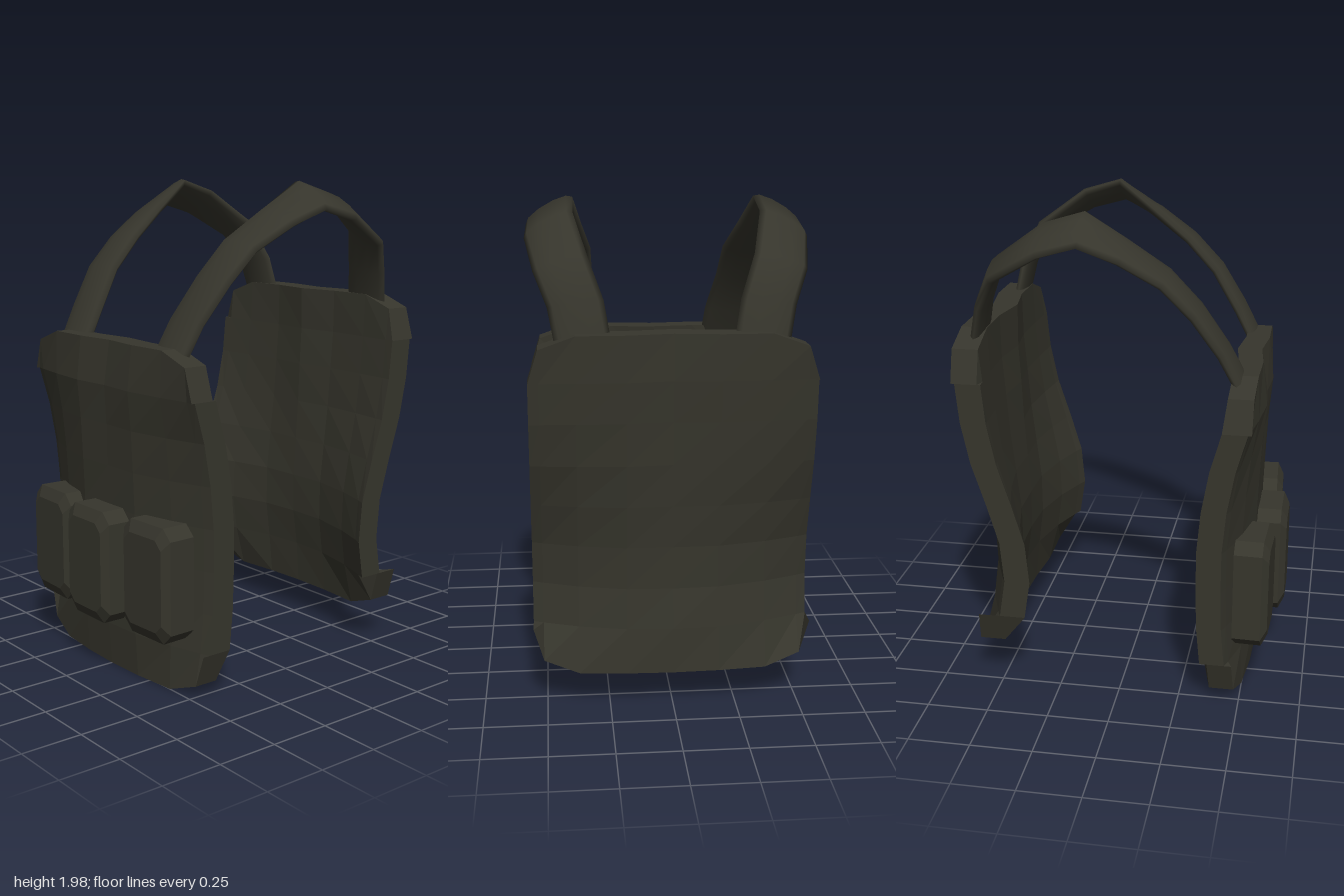
import * as THREE from 'three';
import { ConvexGeometry } from 'three/addons/geometries/ConvexGeometry.js';

const fabric = new THREE.MeshStandardMaterial({ color: 0x36352c });
fabric.name = 'darkOliveFabric';

// Plate outline: column positions with their lowest and highest y
const COLS = [[-0.55, 0.18, 1.18], [-0.51, 0.05, 1.31], [-0.37, 0, 1.36], [-0.18, 0, 1.36], [0, 0, 1.36],
  [0.18, 0, 1.36], [0.37, 0, 1.36], [0.51, 0.05, 1.31], [0.55, 0.18, 1.18]];
const ROWS = [0, 0.18, 0.34, 0.51, 0.68, 0.85, 1.02, 1.18, 1.36];

// Curved panel with flat facets: centre and edge depths per row, facing +z
function plateGeometry(centre, edge, dip, thickness) {
  const n = COLS.length, m = ROWS.length;
  const grid = (offset) => COLS.map(([x, lo, hi]) => ROWS.map((row, j) => {
    const f = (x / 0.55) ** 2;
    const notch = x === 0 ? dip * (j / (m - 1)) : 0;
    const z = centre[j] + (edge[j] - centre[j]) * f - notch - offset;
    return new THREE.Vector3(x, THREE.MathUtils.clamp(row, lo, hi), z);
  }));
  const F = grid(0), B = grid(thickness), pos = [];
  const tri = (a, b, c) => {
    if (a.equals(b) || b.equals(c) || a.equals(c)) return;
    for (const p of [a, b, c]) pos.push(p.x, p.y, p.z);
  };
  const quad = (a, b, c, d) => { tri(a, b, c); tri(a, c, d); };
  for (let i = 0; i < n - 1; i++) {
    for (let j = 0; j < m - 1; j++) {
      quad(F[i][j], F[i + 1][j], F[i + 1][j + 1], F[i][j + 1]);
      quad(B[i][j], B[i][j + 1], B[i + 1][j + 1], B[i + 1][j]);
    }
  }
  // rim around the outline
  const loop = [];
  for (let i = 0; i < n - 1; i++) loop.push([i, 0]);
  for (let j = 0; j < m - 1; j++) loop.push([n - 1, j]);
  for (let i = n - 1; i > 0; i--) loop.push([i, m - 1]);
  for (let j = m - 1; j > 0; j--) loop.push([0, j]);
  loop.forEach(([i, j], k) => {
    const [p, q] = loop[(k + 1) % loop.length];
    quad(F[i][j], B[i][j], B[p][q], F[p][q]);
  });
  const g = new THREE.BufferGeometry();
  g.setAttribute('position', new THREE.Float32BufferAttribute(pos, 3));
  g.computeVertexNormals();
  return g;
}

// Shoulder strap stations: x, y, z, roll
const STRAP = [
  [0.33, 1.29, 0.475, 0], [0.345, 1.45, 0.39, 0], [0.38, 1.61, 0.285, 0.05], [0.39, 1.735, 0.165, 0.1],
  [0.43, 1.84, 0.01, 0.22], [0.455, 1.925, -0.145, 0.52], [0.46, 1.88, -0.3, 0.48],
  [0.42, 1.755, -0.49, 0.3], [0.365, 1.61, -0.555, 0.12], [0.335, 1.44, -0.59, 0],
];

// Soft oval band swept through the stations
function strapGeometry(side) {
  const sides = 10, pos = [], idx = [];
  const pts = STRAP.map(([x, y, z]) => new THREE.Vector3(side * x, y, z));
  const last = pts.length - 1;
  pts.forEach((p, k) => {
    const t = pts[Math.min(k + 1, last)].clone().sub(pts[Math.max(k - 1, 0)]).normalize();
    const roll = STRAP[k][3];
    const w = new THREE.Vector3(Math.cos(roll), -side * Math.sin(roll), 0);
    const up = t.clone().cross(w).normalize();
    for (let s = 0; s < sides; s++) {
      const a = (s / sides) * Math.PI * 2;
      const v = p.clone().addScaledVector(w, 0.107 * Math.cos(a)).addScaledVector(up, 0.028 * Math.sin(a));
      pos.push(v.x, v.y, v.z);
      if (k < last) {
        const a0 = k * sides + s, b0 = k * sides + (s + 1) % sides;
        idx.push(a0, b0, b0 + sides, a0, b0 + sides, a0 + sides);
      }
    }
  });
  const g = new THREE.BufferGeometry();
  g.setAttribute('position', new THREE.Float32BufferAttribute(pos, 3));
  g.setIndex(idx);
  g.computeVertexNormals();
  return g;
}

// Octagonal pouch with a bevelled front, back at z = 0
function pouchGeometry() {
  const w = 0.145, h = 0.232, c = 0.045, pts = [];
  for (const [z, s] of [[0, 1], [0.115, 1], [0.14, 0.8]]) {
    for (const sx of [-1, 1]) for (const sy of [-1, 1]) {
      pts.push(new THREE.Vector3(sx * w * s, sy * (h - c) * s, z));
      pts.push(new THREE.Vector3(sx * (w - c) * s, sy * h * s, z));
    }
  }
  return new ConvexGeometry(pts);
}

export function createModel() {
  const group = new THREE.Group();
  group.name = 'vest';
  const add = (name, geometry) => {
    const mesh = new THREE.Mesh(geometry, fabric);
    mesh.name = name;
    group.add(mesh);
    return mesh;
  };

  add('frontPlate', plateGeometry(
    [0.525, 0.54, 0.54, 0.54, 0.54, 0.545, 0.55, 0.56, 0.535],
    [0.47, 0.44, 0.425, 0.42, 0.42, 0.435, 0.465, 0.51, 0.525], 0.02, 0.1));

  const back = add('backPlate', plateGeometry(
    [0.63, 0.62, 0.6, 0.6, 0.615, 0.63, 0.64, 0.652, 0.653],
    [0.58, 0.49, 0.465, 0.48, 0.53, 0.585, 0.62, 0.635, 0.65], 0.028, 0.105));
  back.rotation.y = Math.PI;
  back.position.y = 0.145;

  // Straps
  add('leftStrap', strapGeometry(1));
  add('rightStrap', strapGeometry(-1));

  // Row of three pouches following the curve of the front
  const pouch = pouchGeometry();
  for (const [name, s] of [['rightPouch', -1], ['middlePouch', 0], ['leftPouch', 1]]) {
    const mesh = add(name, pouch);
    mesh.position.set(s * 0.335, 0.458, s ? 0.468 : 0.512);
    mesh.rotation.y = s * 0.04;
  }
  return group;
}
